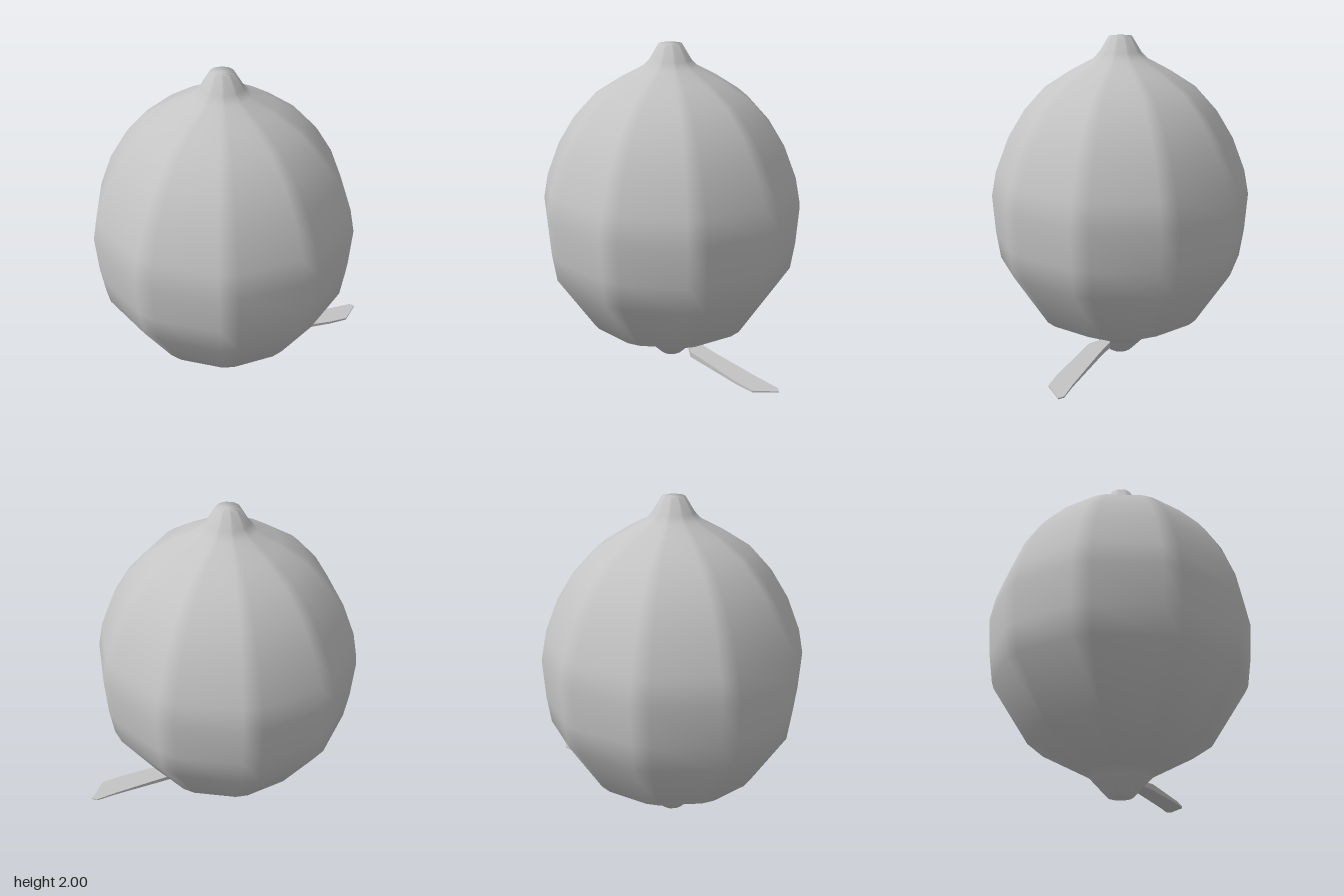
import * as THREE from 'three';
import { mergeVertices } from 'three/addons/utils/BufferGeometryUtils.js';

// Weld, then take area-weighted smooth normals so wide panels stay flat.
function smooth(geometry) {
  geometry.deleteAttribute('uv');
  geometry.deleteAttribute('normal');
  const welded = mergeVertices(geometry, 1e-4);
  welded.computeVertexNormals();
  return welded;
}

// Ten-sided lathe body with a narrow bevel at every corner.
function fruitGeometry() {
  const profile = [
    [0, 0], [0.075, 0], [0.17, 0.1], [0.21, 0.135], [0.54, 0.31], [0.76, 0.65],
    [0.785, 0.82], [0.8, 1.05], [0.77, 1.2], [0.69, 1.4], [0.59, 1.56],
    [0.46, 1.7], [0.3, 1.8], [0.165, 1.87], [0.125, 1.91], [0.07, 2], [0, 2],
  ].map(([r, y]) => new THREE.Vector2(r, y));
  const geometry = new THREE.LatheGeometry(profile, 20);
  const position = geometry.attributes.position;
  const bevel = THREE.MathUtils.degToRad(4);
  const half = Math.PI / 10;
  const cut = Math.cos(half) / Math.cos(half - bevel);
  for (let i = 0; i <= 20; i++) {
    const angle = Math.PI / 2 + Math.floor(i / 2) * half * 2 + (i % 2 ? bevel : -bevel);
    profile.forEach((p, j) => position.setXYZ(i * profile.length + j,
      p.x * cut * Math.sin(angle), p.y, p.x * cut * Math.cos(angle)));
  }
  return smooth(geometry);
}

// Long thin leaf, thicker at the stem and tapering to the tip.
function leafGeometry() {
  const outline = [
    [0.1, 0.04], [0.15, 0], [0.3, 0.02], [0.7, 0.055], [0.83, 0.06],
    [0.855, 0.085], [0.74, 0.185], [0.62, 0.18], [0.2, 0.12],
  ].map(([x, z]) => new THREE.Vector2(x, -z));
  const geometry = new THREE.ExtrudeGeometry(new THREE.Shape(outline),
    { depth: 1, bevelEnabled: false });
  geometry.rotateX(-Math.PI / 2);
  const position = geometry.attributes.position;
  for (let i = 0; i < position.count; i++) {
    const x = position.getX(i);
    const t = (x - 0.1) / 0.755;
    const bottom = x < 0.14 ? 0.125 : 0.1 + 0.018 * t;
    const top = 0.14 - 0.015 * t;
    position.setY(i, position.getY(i) > 0.5 ? top : bottom);
  }
  geometry.computeVertexNormals();
  return geometry;
}

export function createModel() {
  const group = new THREE.Group();
  const grey = new THREE.MeshStandardMaterial({ color: 0xc4c4c4 });
  grey.name = 'plain grey';

  const fruit = new THREE.Mesh(fruitGeometry(), grey);
  fruit.name = 'fruit';
  fruit.position.x = -0.075;

  const leaf = new THREE.Mesh(leafGeometry(), grey);
  leaf.name = 'leaf';

  group.add(fruit, leaf);
  return group;
}
